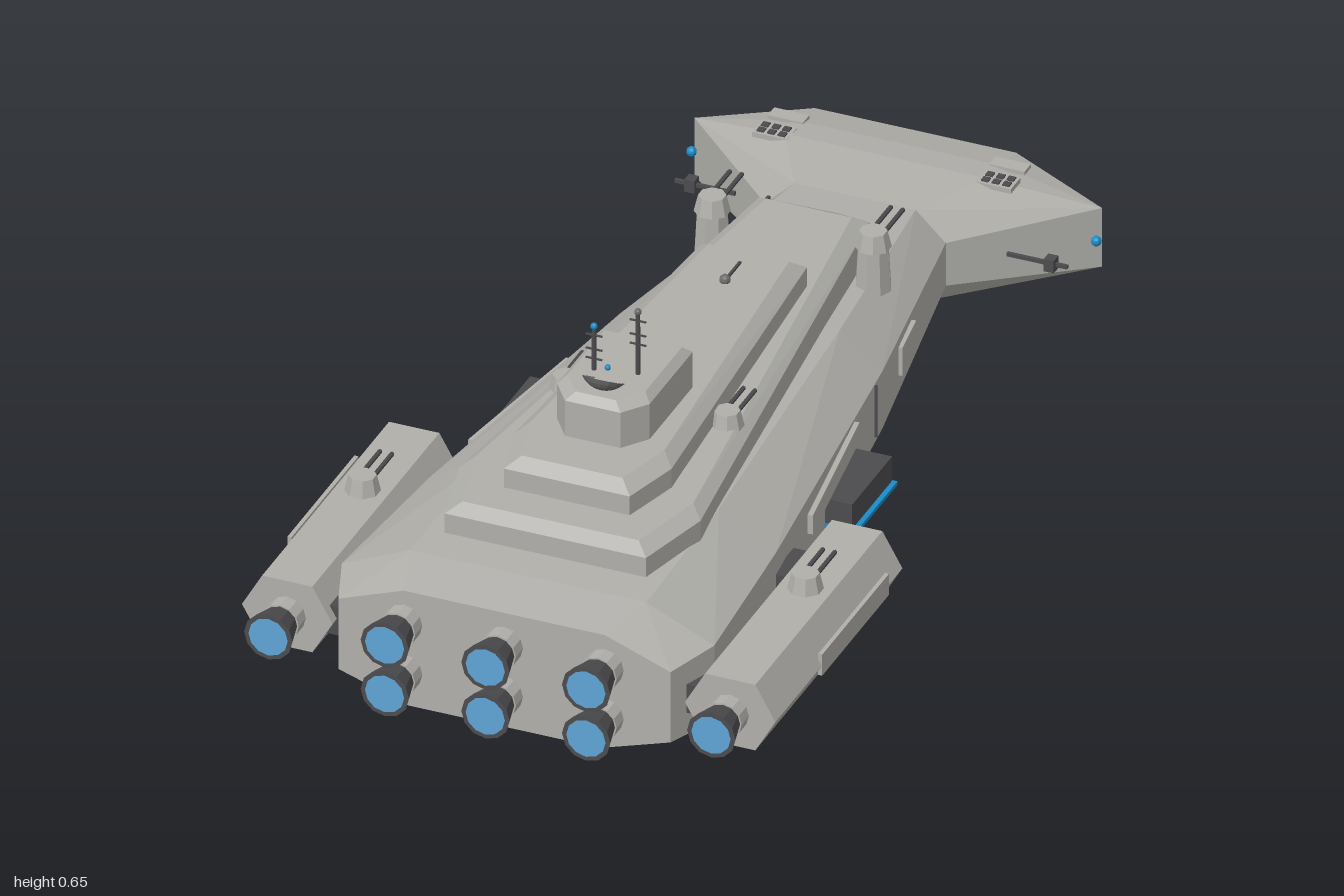
import * as THREE from 'three';
import { ConvexGeometry } from 'three/addons/geometries/ConvexGeometry.js';

const mat = (name, color, extra = {}) => {
  const m = new THREE.MeshStandardMaterial({ color, flatShading: true, ...extra });
  m.name = name;
  return m;
};

export function createModel() {
  const root = new THREE.Group();
  root.name = 'starship';
  const hullGrey = mat('hull grey', 0xb0afaa);
  const darkGrey = mat('dark grey', 0x4c4c4f);
  const dish = mat('dish grey', 0x6c6c6c, { side: THREE.DoubleSide });
  const glow = mat('engine blue', 0x5fa4d6);
  const lamp = mat('lamp blue', 0x1a8cc8);

  const add = (name, geo, m, x = 0, y = 0, z = 0, parent = root) => {
    const mesh = new THREE.Mesh(geo, m);
    mesh.name = name;
    mesh.position.set(x, y, z);
    parent.add(mesh);
    return mesh;
  };
  const box = (name, m, w, h, d, x, y, z, parent) =>
    add(name, new THREE.BoxGeometry(w, h, d), m, x, y, z, parent);
  // Faceted solid mirrored across x from half-side corners [x, y, z]
  const solid = (name, pts, m = hullGrey) => {
    const all = pts.flatMap(([x, y, z]) =>
      x ? [new THREE.Vector3(x, y, z), new THREE.Vector3(-x, y, z)] : [new THREE.Vector3(0, y, z)]);
    return add(name, new ConvexGeometry(all), m);
  };
  // Eight-sided section: bottom, side and top half widths, then four heights
  const section = (z, wb, ws, wt, y0, y1, y2, y3) =>
    [[wb, y0, z], [ws, y1, z], [ws, y2, z], [wt, y3, z]];

  // Main hull and flared prow
  solid('mainHull', [
    ...section(0.91, 0.19, 0.33, 0.2, 0.04, 0.085, 0.235, 0.283),
    ...section(0.8, 0.2, 0.37, 0.235, 0.027, 0.08, 0.24, 0.3),
    ...section(0.45, 0.2, 0.343, 0.23, 0.02, 0.08, 0.237, 0.305),
    ...section(-0.24, 0.15, 0.26, 0.175, 0.042, 0.1, 0.222, 0.289),
    ...section(-0.72, 0.11, 0.18, 0.12, 0.062, 0.117, 0.208, 0.265),
  ]);
  solid('prow', [
    ...section(-0.72, 0.11, 0.18, 0.12, 0.062, 0.117, 0.208, 0.265),
    ...section(-0.86, 0.2, 0.33, 0.2, 0.06, 0.1, 0.225, 0.273),
    ...section(-0.92, 0.2, 0.405, 0.2, 0.066, 0.1, 0.225, 0.268),
    ...section(-1, 0.19, 0.2, 0.2, 0.078, 0.1, 0.225, 0.25),
  ]);

  // Stepped superstructure: plan corners [x, z], inset top, sloping nose
  const tier = (name, plan, noseZ, y0, y1, y2, inset) => solid(name, [
    ...plan.map(([x, z]) => [x, y0, z]),
    ...plan.map(([x, z]) => [x, y1, z]),
    ...plan.map(([x, z], i) => [x - inset, y2, z + (i === plan.length - 1 ? inset : -inset)]),
    [0, y0, noseZ],
  ]);
  tier('lowerDeck', [[0.2, 0.72], [0.24, 0.56], [0.11, -0.53]], -0.63, 0.28, 0.342, 0.36, 0.025);
  tier('upperDeck', [[0.125, 0.62], [0.157, 0.5], [0.105, -0.25]], -0.32, 0.355, 0.4, 0.42, 0.025);
  tier('bridge', [[0.055, 0.5], [0.092, 0.45], [0.092, 0.25]], 0.2, 0.415, 0.495, 0.51, 0.015);

  // Engine: collar, flared nozzle, glowing disc
  const engine = (x, y, z) => {
    const g = new THREE.Group();
    g.name = 'engine';
    g.position.set(x, y, z);
    root.add(g);
    const tube = (name, r1, r0, len, m, cz) =>
      add(name, new THREE.CylinderGeometry(r1, r0, len, 12).rotateX(Math.PI / 2), m, 0, 0, cz, g);
    tube('collar', 0.037, 0.037, 0.05, hullGrey, -0.08);
    tube('nozzle', 0.048, 0.03, 0.07, darkGrey, -0.035);
    add('glowDisc', new THREE.CircleGeometry(0.039, 12), glow, 0, 0, 0.001, g);
  };
  for (const x of [-0.2, 0, 0.2]) for (const y of [0.112, 0.216]) engine(x, y, 0.998);

  // Twin-barrel turret; roll turns it over for the belly
  const turret = (x, y, z, s = 1, roll = 0) => {
    const g = new THREE.Group();
    g.name = 'turret';
    g.position.set(x, y, z);
    g.scale.setScalar(s);
    g.rotation.z = roll;
    root.add(g);
    add('turretBody', new THREE.CylinderGeometry(0.026, 0.034, 0.034, 8).rotateY(Math.PI / 8),
      hullGrey, 0, 0.017, 0, g);
    for (const bx of [-0.012, 0.012])
      add('barrel', new THREE.CylinderGeometry(0.0045, 0.0045, 0.09, 6).rotateX(Math.PI / 2),
        darkGrey, bx, 0.02, -0.065, g);
  };

  for (const s of [-1, 1]) {
    // Side pod
    const ring = [[0.09, 0], [0.05, 0.07], [-0.05, 0.07], [-0.09, 0], [-0.05, -0.07], [0.05, -0.07]];
    const pts = [0.89, 0.3].flatMap((z) =>
      ring.map(([x, y]) => new THREE.Vector3(s * 0.44 + x, 0.165 + y, z)));
    pts.push(new THREE.Vector3(s * 0.44, 0.18, 0.255));
    add('sidePod', new ConvexGeometry(pts), hullGrey);
    box('podPanel', hullGrey, 0.008, 0.045, 0.31, s * 0.527, 0.167, 0.52);
    box('podPylonFront', darkGrey, 0.04, 0.06, 0.1, s * 0.355, 0.16, 0.4);
    box('podPylonRear', darkGrey, 0.04, 0.06, 0.12, s * 0.365, 0.16, 0.81);
    box('pylonLight', lamp, 0.04, 0.008, 0.1, s * 0.357, 0.126, 0.4);
    engine(s * 0.44, 0.165, 0.978);

    // Turrets on pods and decks
    turret(s * 0.44, 0.234, 0.54);
    turret(s * 0.16, 0.355, 0.25, 0.95);
    turret(s * 0.16, 0.358, -0.43);
    add('turretMount', new THREE.CylinderGeometry(0.03, 0.035, 0.09, 8), hullGrey, s * 0.16, 0.315, -0.43);

    // Hangar bay with lit sill
    box('bayWall', darkGrey, 0.075, 0.054, 0.185, s * 0.322, 0.141, 0.042);
    box('baySill', lamp, 0.085, 0.008, 0.19, s * 0.327, 0.112, 0.042);

    // Raised hull plates
    const plate = (name, w, h, x, y, z) => {
      const p = box(name, hullGrey, 0.01, h, w, s * x, y, z);
      p.rotation.y = s * 0.15;
    };
    plate('bowPlate', 0.1, 0.06, 0.235, 0.17, -0.41);
    plate('midPlate', 0.34, 0.04, 0.312, 0.2, 0.11);
    const seam = box('hullSeam', darkGrey, 0.008, 0.11, 0.004, s * 0.266, 0.165, -0.19);
    seam.rotation.y = s * 0.15;

    // Prow launch cells
    box('prowHatch', hullGrey, 0.07, 0.008, 0.03, s * 0.22, 0.268, -0.925);
    box('cellBlock', hullGrey, 0.07, 0.01, 0.045, s * 0.222, 0.268, -0.865);
    for (let i = 0; i < 3; i++) for (let j = 0; j < 2; j++)
      box('launchCell', darkGrey, 0.014, 0.004, 0.014, s * (0.202 + i * 0.021), 0.274, -0.875 + j * 0.02);

    // Prow sensors and running lights
    box('sensorArm', darkGrey, 0.12, 0.007, 0.007, s * 0.33, 0.165, -0.795);
    box('sensorHead', darkGrey, 0.02, 0.026, 0.022, s * 0.357, 0.165, -0.795);
    add('runningLight', new THREE.SphereGeometry(0.01, 8, 6), lamp, s * 0.402, 0.165, -0.9);

    // Belly fittings
    box('bellySensor', darkGrey, 0.018, 0.014, 0.02, s * 0.19, 0.019, 0.46);
  }

  // Masts with cross bars and tips
  const mast = (x, z, top, tip) => {
    add('mast', new THREE.CylinderGeometry(0.004, 0.005, top - 0.5, 6), darkGrey, x, (top + 0.5) / 2, z);
    add('mastTip', new THREE.SphereGeometry(0.007, 8, 6), tip, x, top - 0.006, z);
    for (const d of [0.025, 0.055, 0.075]) box('mastBar', darkGrey, 0.032, 0.003, 0.003, x, top - d, z);
  };
  mast(-0.04, 0.4, 0.608, lamp);
  mast(0.04, 0.383, 0.648, dish);

  // Tilted dish with feed
  const bowl = add('dish', new THREE.SphereGeometry(0.05, 14, 4, 0, Math.PI * 2, 0, 0.93)
    .scale(1, -1, 1).translate(0, 0.03, 0), dish, 0, 0.525, 0.45);
  bowl.rotation.x = -0.53;
  add('dishFeed', new THREE.SphereGeometry(0.006, 8, 6), lamp, 0, 0.54, 0.43);

  // Deck whips
  add('deckKnob', new THREE.SphereGeometry(0.011, 8, 6), dish, 0, 0.424, -0.115);
  box('deckWhip', darkGrey, 0.005, 0.005, 0.07, 0, 0.422, -0.15);
  box('bowWhip', darkGrey, 0.006, 0.03, 0.02, -0.12, 0.29, -0.59);

  // Belly turret and sensors
  turret(0, 0.034, -0.14, 0.95, Math.PI);
  box('bellyProbe', darkGrey, 0.01, 0.008, 0.05, 0, 0.015, -0.05);
  box('bellySensor', darkGrey, 0.016, 0.014, 0.02, -0.07, 0.02, 0.2);
  box('bowProbe', darkGrey, 0.02, 0.03, 0.02, 0, 0.05, -0.57);
  box('bowProbeRod', darkGrey, 0.006, 0.006, 0.06, 0, 0.04, -0.59);
  return root;
}
